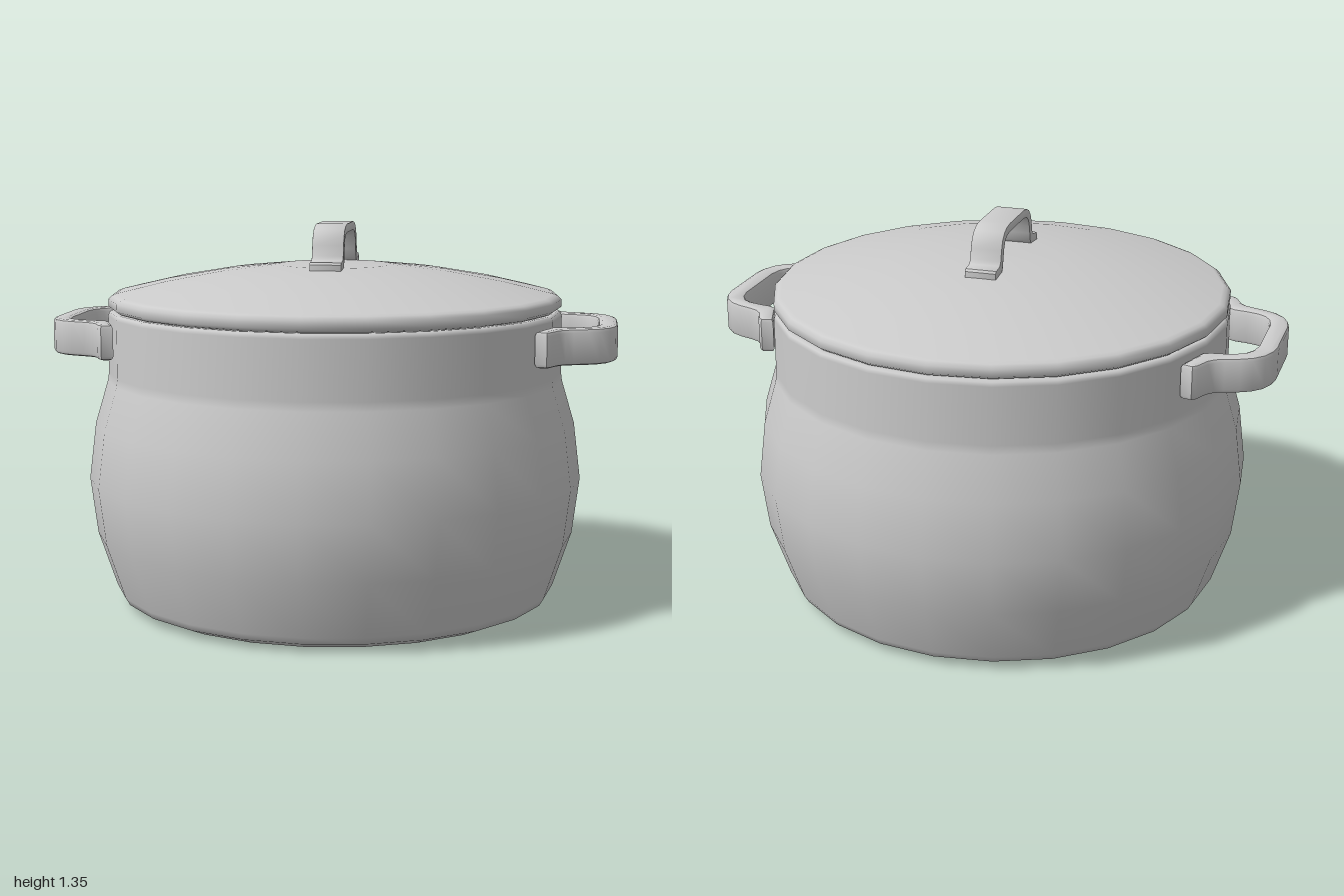
import * as THREE from 'three';
import { toCreasedNormals } from 'three/addons/utils/BufferGeometryUtils.js';

const material = new THREE.MeshStandardMaterial({ color: 0xcccccc });

function addMesh(parent, name, geometry) {
  const mesh = new THREE.Mesh(geometry, material);
  mesh.name = name;
  parent.add(mesh);
  return mesh;
}

const vectors = (points) => points.map(([x, y]) => new THREE.Vector2(x, y));

// 24-sided turned part from a [radius, height] profile
const turned = (profile) => new THREE.LatheGeometry(vectors(profile), 24);

// Symmetric bow: outer edge from the middle to the foot, inner edge back to the middle
function bow(half, width, bevel) {
  const mirrored = half.map(([x, y]) => [-x, y]).reverse();
  const shape = new THREE.Shape(vectors([...half, ...mirrored]));
  const geometry = new THREE.ExtrudeGeometry(shape, {
    depth: width - 2 * bevel,
    bevelEnabled: true,
    bevelSize: bevel,
    bevelThickness: bevel,
    bevelOffset: -bevel,
    bevelSegments: 2,
  });
  geometry.translate(0, 0, bevel - width / 2);
  return toCreasedNormals(geometry, 0.7);
}

export function createModel() {
  const pot = new THREE.Group();
  pot.name = 'cookingPot';

  // Bellied body, hollow inside
  addMesh(pot, 'body', turned([
    [0, 0], [0.69, 0], [0.71, 0.002], [0.775, 0.03], [0.79, 0.055],
    [0.855, 0.25], [0.88, 0.45], [0.855, 0.65], [0.81, 0.8], [0.806, 0.83],
    [0.805, 1.03], [0.8, 1.043], [0.79, 1.047], [0.77, 1.047], [0.765, 1.03],
    [0.765, 0.8], [0.83, 0.45], [0.74, 0.06], [0, 0.04],
  ]));

  // Domed lid with a rounded edge
  const lid = new THREE.Group();
  lid.name = 'lid';
  pot.add(lid);
  addMesh(lid, 'lidDome', turned([
    [0, 1.045], [0.77, 1.045], [0.79, 1.052], [0.803, 1.062], [0.803, 1.088],
    [0.79, 1.1], [0.775, 1.106], [0.6, 1.147], [0.4, 1.182], [0.2, 1.203], [0, 1.207],
  ]));

  // Lid handle, a flat strap arched from front to back
  const strap = bow([
    [0.08, 1.35], [0.115, 1.346], [0.145, 1.334], [0.167, 1.312], [0.18, 1.28],
    [0.188, 1.245], [0.198, 1.232], [0.215, 1.228], [0.24, 1.226], [0.247, 1.218], [0.247, 1.196],
    [0.178, 1.2], [0.164, 1.215], [0.157, 1.245], [0.15, 1.275], [0.138, 1.3],
    [0.118, 1.314], [0.08, 1.32],
  ], 0.11, 0.002);
  strap.rotateY(Math.PI / 2);
  addMesh(lid, 'lidHandle', strap);

  // Side handles, with feet lying against the wall
  const grip = bow([
    [0.11, 1], [0.155, 0.992], [0.2, 0.972], [0.235, 0.938], [0.255, 0.9],
    [0.272, 0.85], [0.285, 0.822], [0.305, 0.802], [0.355, 0.778], [0.37, 0.762], [0.358, 0.722],
    [0.235, 0.767], [0.222, 0.79], [0.215, 0.835], [0.203, 0.875], [0.185, 0.903],
    [0.155, 0.922], [0.11, 0.932],
  ], 0.125, 0.014);
  grip.rotateZ(-Math.PI / 2).translate(0, 0.952, 0);
  grip.translate(0, -0.952, 0).rotateX(-Math.PI / 2).translate(0, 0.952, 0);
  addMesh(pot, 'leftHandle', grip);
  addMesh(pot, 'rightHandle', grip).rotation.y = Math.PI;

  return pot;
}
